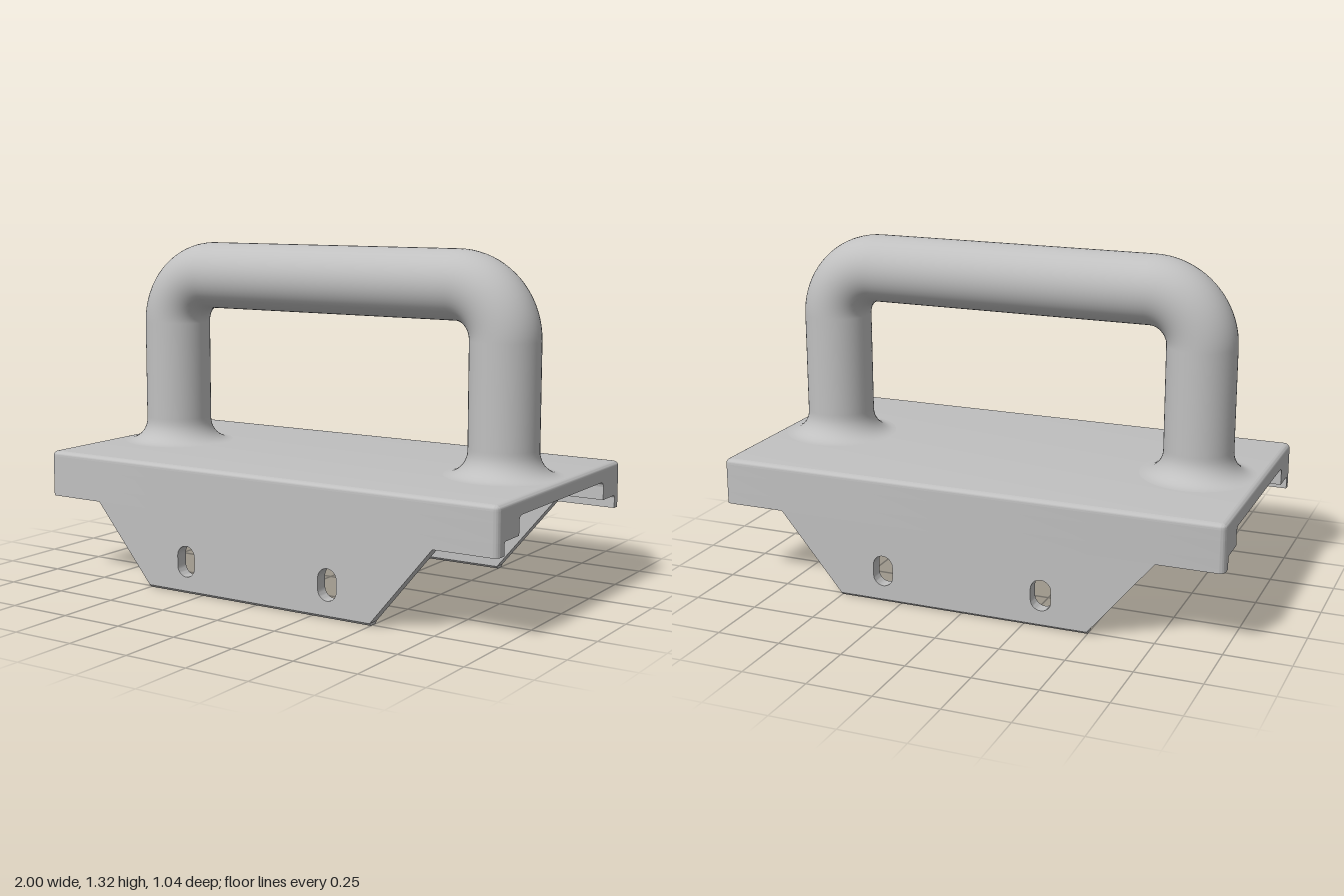
import * as THREE from 'three';
import { toCreasedNormals } from 'three/addons/utils/BufferGeometryUtils.js';

const metal = new THREE.MeshStandardMaterial({ color: 0xc0c0c0 });
metal.name = 'plain grey';

const HALF_X = 1, HALF_Z = 0.52, CORNER = 0.025;
const TOP = 0.49, CEILING = 0.43, STEP = 0.36, SKIRT = 0.31;
const STEP_Z = 0.36, WALL_Z = 0.47;

function part(name, geometry) {
  const mesh = new THREE.Mesh(geometry, metal);
  mesh.name = name;
  return mesh;
}

function extrude(shape, depth, options = {}) {
  const g = new THREE.ExtrudeGeometry(shape, { depth, bevelEnabled: false, curveSegments: 8, ...options });
  return toCreasedNormals(g, 0.6);
}

// Plan outline from z0 to the outer wall, with rounded outer corners
function footprint(z0, roundBack) {
  const s = new THREE.Shape(), r = CORNER, q = Math.PI / 2;
  if (roundBack) {
    s.absarc(-HALF_X + r, z0 + r, r, 2 * q, 3 * q);
    s.absarc(HALF_X - r, z0 + r, r, -q, 0);
  } else {
    s.moveTo(-HALF_X, z0);
    s.lineTo(HALF_X, z0);
  }
  s.absarc(HALF_X - r, HALF_Z - r, r, 0, q);
  s.absarc(-HALF_X + r, HALF_Z - r, r, q, 2 * q);
  s.closePath();
  return s;
}

// Extrude a plan shape downwards from yTop
function slab(shape, yTop, depth, options) {
  return extrude(shape, depth, options).rotateX(Math.PI / 2).translate(0, yTop, 0);
}

// Extrude a (z, y) section along x, centred
function alongX(shape, length) {
  return extrude(shape, length).rotateY(-Math.PI / 2).translate(length / 2, 0, 0);
}

// Concave fillet running along an inside corner
function fillet(z, y, r) {
  const s = new THREE.Shape();
  s.moveTo(z, y);
  s.lineTo(z - r, y);
  s.absarc(z - r, y - r, r, Math.PI / 2, 0, true);
  s.closePath();
  return alongX(s, 2 * HALF_X);
}

// Stepped rail and slotted mounting plate on one long side
function createSide() {
  const side = new THREE.Group();
  side.add(part('upperRail', slab(footprint(STEP_Z), CEILING, CEILING - STEP)));
  side.add(part('lowerRail', slab(footprint(WALL_Z), STEP, STEP - SKIRT)));
  side.add(part('ceilingFillet', fillet(STEP_Z, CEILING, 0.02)));
  side.add(part('stepFillet', fillet(WALL_Z, STEP, 0.01)));

  const chamfer = 0.01;
  const plate = new THREE.Shape([[-0.5, chamfer], [0.5, chamfer], [0.75, SKIRT], [-0.75, SKIRT]]
    .map(([x, y]) => new THREE.Vector2(x, y)));
  for (const x of [-0.32, 0.32]) {
    const slot = new THREE.Path();
    slot.absarc(x, 0.145, 0.04, 0, Math.PI);
    slot.absarc(x, 0.105, 0.04, Math.PI, 2 * Math.PI);
    slot.closePath();
    plate.holes.push(slot);
  }
  side.add(part('mountingPlate', extrude(plate, HALF_Z - WALL_Z).translate(0, 0, WALL_Z)));

  // Chamfered bottom edge of the plate
  const edge = new THREE.Shape([[WALL_Z + chamfer, 0], [HALF_Z - chamfer, 0], [HALF_Z, chamfer], [WALL_Z, chamfer]]
    .map(([z, y]) => new THREE.Vector2(z, y)));
  side.add(part('plateEdge', alongX(edge, 1)));
  return side;
}

// Round bar handle with flared feet and quarter-torus bends
function createHandle() {
  const handle = new THREE.Group();
  handle.name = 'handle';
  const r = 0.133, bend = 0.197, bendX = 0.56, bendY = 0.985, flare = 0.09;
  const profile = [];
  for (let i = 0; i <= 10; i++) {
    const a = -Math.PI / 2 * (1 + i / 10);
    profile.push(new THREE.Vector2(r + flare + flare * Math.cos(a), TOP + flare + flare * Math.sin(a)));
  }
  profile.push(new THREE.Vector2(r, TOP + flare + 0.01), new THREE.Vector2(r, bendY));

  for (const s of [1, -1]) {
    const leg = part(s > 0 ? 'leftLeg' : 'rightLeg', new THREE.LatheGeometry(profile, 48));
    leg.position.x = s * (bendX + bend);
    const elbow = part(s > 0 ? 'leftBend' : 'rightBend', new THREE.TorusGeometry(bend, r, 48, 20, Math.PI / 2));
    elbow.position.set(s * bendX, bendY, 0);
    if (s < 0) elbow.rotation.y = Math.PI;
    handle.add(leg, elbow);
  }
  const grip = part('grip', new THREE.CylinderGeometry(r, r, 2 * bendX, 48, 1, true).rotateZ(Math.PI / 2));
  grip.position.y = bendY + bend;
  handle.add(grip);
  return handle;
}

export function createModel() {
  const model = new THREE.Group();
  model.name = 'handleBracket';

  // Base plate with a rounded top rim
  const round = 0.02;
  const outline = footprint(-HALF_Z, true);
  model.add(part('basePlate', slab(outline, TOP - round, TOP - round - CEILING)));
  model.add(part('baseTop', slab(outline, TOP - round, 0.001, {
    bevelEnabled: true, bevelThickness: round, bevelSize: round, bevelOffset: -round, bevelSegments: 5,
  })));

  const front = createSide();
  front.name = 'frontSide';
  const back = createSide();
  back.name = 'backSide';
  back.rotation.y = Math.PI;
  model.add(front, back, createHandle());
  return model;
}
